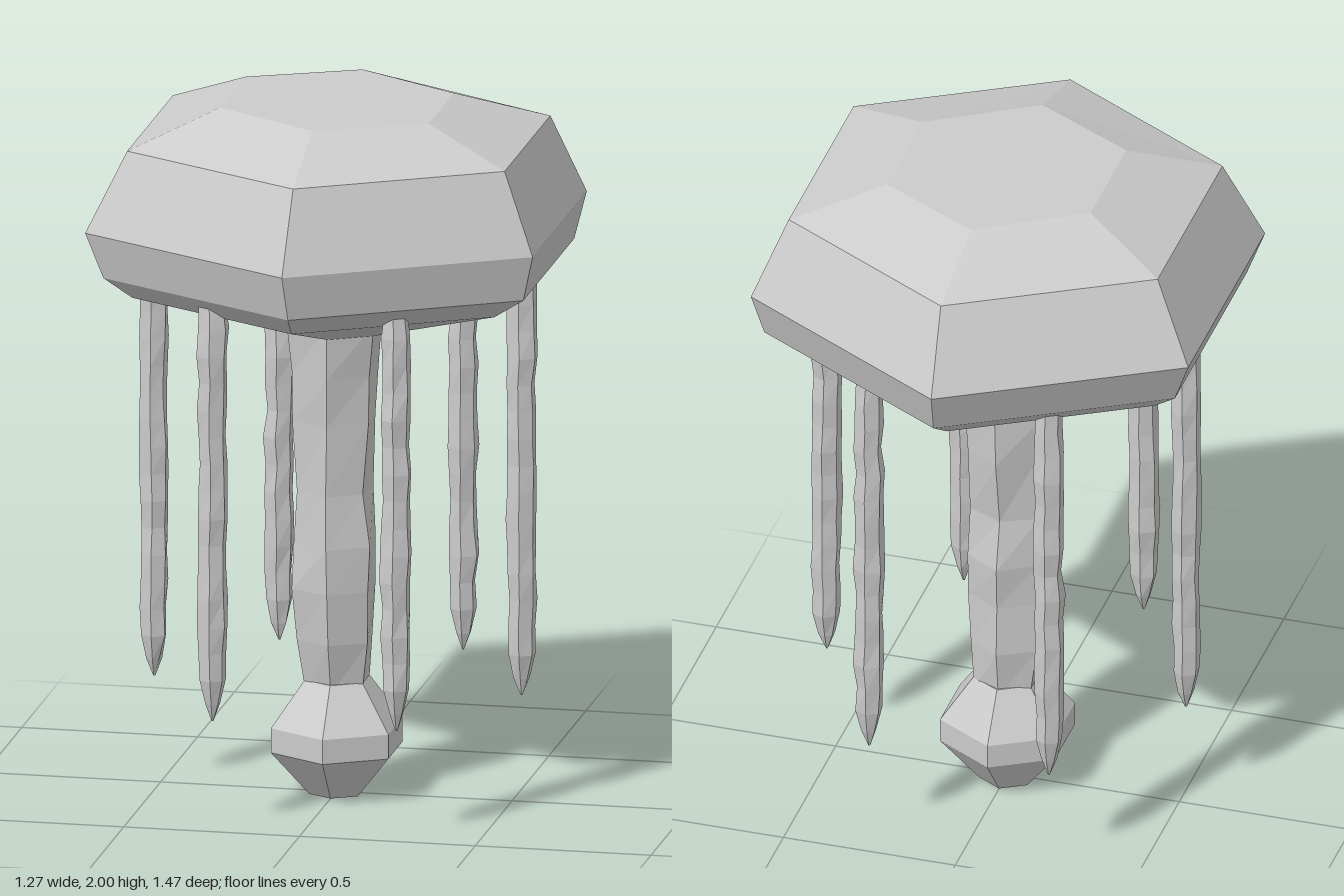
import * as THREE from 'three';

const SIDES = 6;
const material = new THREE.MeshStandardMaterial({ color: 0xcccccc, flatShading: true });

// Small seeded generator, returns -1..1
function makeNoise(seed) {
  let s = seed;
  return () => {
    s = (s * 16807) % 2147483647;
    return (s / 2147483647) * 2 - 1;
  };
}

// Closed hexagonal skin through rings [y, radius, centreX, centreZ], bottom to top
function hexLoft(name, rings, wobble = 0, seed = 1) {
  const noise = makeNoise(seed * 7919);
  const positions = [];
  const index = [];
  for (const [y, r, cx = 0, cz = 0] of rings) {
    for (let k = 0; k < SIDES; k++) {
      const a = (k / SIDES) * Math.PI * 2;
      const rr = r + noise() * Math.min(wobble, r * 0.4);
      positions.push(cx + Math.sin(a) * rr, y, cz + Math.cos(a) * rr);
    }
  }
  for (let i = 0; i < rings.length - 1; i++) {
    for (let k = 0; k < SIDES; k++) {
      const a = i * SIDES + k;
      const b = i * SIDES + ((k + 1) % SIDES);
      index.push(a, b, b + SIDES, a, b + SIDES, a + SIDES);
    }
  }
  // End caps
  const top = (rings.length - 1) * SIDES;
  for (let k = 1; k < SIDES - 1; k++) {
    index.push(0, k + 1, k, top, top + k, top + k + 1);
  }
  const geometry = new THREE.BufferGeometry();
  geometry.setAttribute('position', new THREE.Float32BufferAttribute(positions, 3));
  geometry.setIndex(index);
  const flat = geometry.toNonIndexed();
  flat.computeVertexNormals();
  const mesh = new THREE.Mesh(flat, material);
  mesh.name = name;
  return mesh;
}

export function createModel() {
  const model = new THREE.Group();
  model.name = 'jellyfish';

  // Faceted bell
  const bell = hexLoft('bell', [
    [1.34, 0.14, 0.005, 0.01],
    [1.475, 0.595, 0, 0.015],
    [1.54, 0.69, 0.01, 0.015],
    [1.67, 0.735, 0, 0.005],
    [1.9, 0.62, 0.01, 0.015],
    [1.99, 0.342, 0.003, 0.003],
  ]);
  // Slight tilt of the crown
  const p = bell.geometry.attributes.position;
  for (let i = 0; i < p.count; i++) {
    if (p.getY(i) > 1.95) p.setY(i, 1.992 - p.getX(i) * 0.025);
  }
  bell.geometry.computeVertexNormals();
  model.add(bell);

  // Uneven central stalk
  model.add(hexLoft('stalk', [
    [0.3, 0.088, 0.002, 0.002],
    [0.45, 0.112, 0.002, 0.01],
    [0.6, 0.123, 0.002, 0.022],
    [0.73, 0.123, 0, 0.017],
    [0.88, 0.112, -0.003, 0.022],
    [1.08, 0.122, 0, 0.01],
    [1.22, 0.13, 0.002, 0.012],
    [1.37, 0.14, 0.003, 0.014],
  ], 0.007, 3));

  // Bulb at the foot of the stalk
  model.add(hexLoft('bulb', [
    [0, 0.08],
    [0.13, 0.193, 0.003, 0.01],
    [0.2, 0.193, 0.003, 0.01],
    [0.33, 0.095, 0.003, 0.004],
  ]));

  // Six rippled tentacles around the stalk
  const tentacles = new THREE.Group();
  tentacles.name = 'tentacles';
  for (let t = 0; t < 6; t++) {
    const angle = (t / 6) * Math.PI * 2;
    const noise = makeNoise(101 + t * 53);
    const rings = [[0.31, 0.003], [0.36, 0.022], [0.43, 0.038]];
    const steps = 14;
    for (let i = 1; i <= steps; i++) {
      rings.push([
        0.43 + (1.09 * i) / steps,
        (i === steps ? 0.036 : 0.042) + noise() * 0.003,
        noise() * 0.003,
        noise() * 0.003,
      ]);
    }
    const tentacle = hexLoft('tentacle', rings, 0.003, t + 11);
    tentacle.position.set(0.007 + Math.cos(angle) * 0.523, 0, 0.013 + Math.sin(angle) * 0.523);
    tentacles.add(tentacle);
  }
  model.add(tentacles);

  return model;
}
